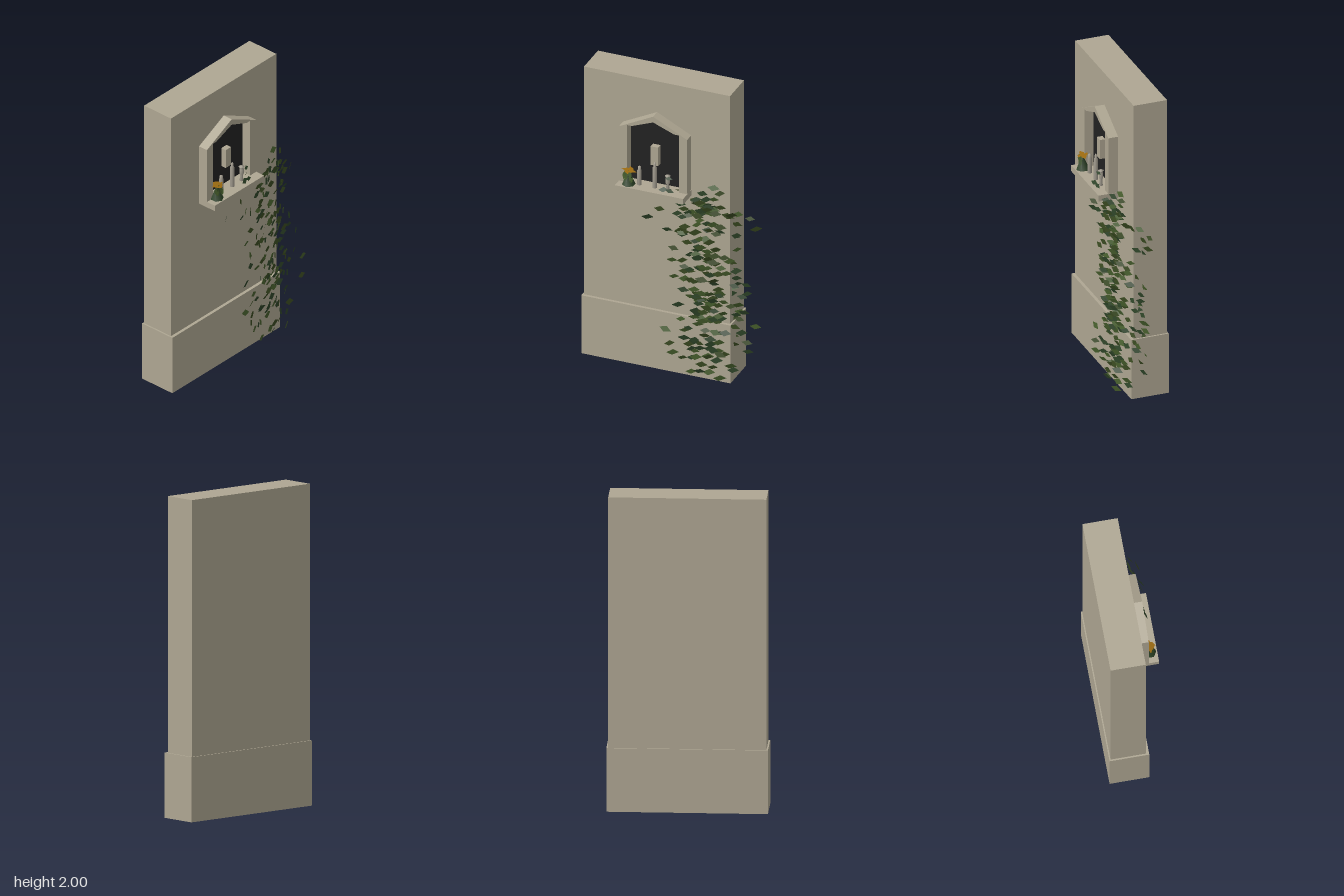
import * as THREE from 'three';
import { mergeGeometries } from 'three/addons/utils/BufferGeometryUtils.js';

export function createModel() {
  const model = new THREE.Group();
  const mat = (name, color, extra = {}) => Object.assign(new THREE.MeshStandardMaterial({ color, ...extra }), { name });
  const stone = mat('stone', 0xaea692, { side: THREE.DoubleSide });
  const dark = mat('niche dark', 0x222222);
  const pale = mat('candle grey', 0xa39d90);
  const orange = mat('flower orange', 0x9a6a10, { side: THREE.DoubleSide });
  const greens = [mat('leaf green', 0x435a2a), mat('deep leaf green', 0x2c4226), mat('dark leaf green', 0x37471f)];

  let seed = 11;
  const rnd = () => (seed = (seed * 16807) % 2147483647) / 2147483647;
  const span = (a, b) => a + (b - a) * rnd();

  const add = (name, geometry, material, parent = model) => {
    const m = new THREE.Mesh(geometry, material);
    m.name = name;
    parent.add(m);
    return m;
  };
  const box = (x0, x1, y0, y1, z0, z1) =>
    new THREE.BoxGeometry(x1 - x0, y1 - y0, z1 - z0).translate((x0 + x1) / 2, (y0 + y1) / 2, (z0 + z1) / 2);
  const openBottom = (g) => {
    const index = Array.from(g.index.array);
    index.splice(18, 6);
    g.setIndex(index);
    g.clearGroups();
    return g;
  };
  const polygon = (pts) => new THREE.Shape(pts.map(([x, y]) => new THREE.Vector2(x, y)));

  // Wall slab and plinth, hollow from below
  add('wall', openBottom(box(-0.6, 0.373, 0.4, 2, -0.175, 0.045)), stone);
  add('plinth', openBottom(box(-0.61, 0.384, 0, 0.405, -0.183, 0.065)), stone);

  // Gabled niche: surround, dark back and shelf, centred on cx
  const cx = -0.113;
  const inner = [[-0.172, 1.29], [-0.172, 1.69], [-0.14, 1.69], [0, 1.745], [0.14, 1.69], [0.172, 1.69], [0.172, 1.29]];
  const outer = [[0.227, 1.29], [0.227, 1.67], [0, 1.785], [-0.227, 1.67], [-0.227, 1.29]];
  add('nicheSurround', new THREE.ExtrudeGeometry(polygon([...inner, ...outer]), { depth: 0.065, bevelEnabled: false })
    .translate(cx, 0, 0.045), stone);
  add('nicheBack', new THREE.ShapeGeometry(polygon([...inner].reverse())).translate(cx, 0, 0.048), dark);
  add('shelf', box(-0.34, 0.115, 1.25, 1.29, 0.045, 0.175), stone);
  add('plaque', box(-0.139, -0.09, 1.43, 1.56, 0.048, 0.085), stone);

  // Candles and lamp on the shelf, turned from profiles of radius and height
  const turned = (name, x, profile) => {
    const g = new THREE.LatheGeometry(profile.map(([r, y]) => new THREE.Vector2(r, y)), 10);
    add(name, g.translate(x, 1.29, 0.106), pale);
  };
  turned('leftCandle', -0.205, [[0, 0], [0.014, 0], [0.014, 0.1], [0.01, 0.105], [0.01, 0.125], [0, 0.13]]);
  turned('middleCandle', -0.103, [[0, 0], [0.014, 0], [0.013, 0.14], [0.007, 0.15], [0.008, 0.165], [0, 0.177]]);
  turned('lamp', -0.017, [[0, 0], [0.012, 0], [0.008, 0.04], [0.014, 0.05], [0.014, 0.085], [0.008, 0.09], [0.018, 0.1], [0, 0.108]]);

  // One leaf: a slanted diamond facing forward
  const leafShape = polygon([[-0.04, 0.004], [-0.008, -0.02], [0.04, -0.006], [0.006, 0.02]]);
  const leaf = (x, y, z, pitch, yaw, roll, size) => new THREE.ShapeGeometry(leafShape).scale(size, size, size)
    .rotateZ(roll).rotateX(pitch).rotateY(yaw).translate(x, y, z);

  // Potted flowers at the left of the shelf
  const bouquet = new THREE.Group();
  bouquet.name = 'bouquet';
  model.add(bouquet);
  add('bouquetStems', new THREE.ConeGeometry(0.042, 0.1, 6).translate(-0.268, 1.34, 0.128), greens[1], bouquet);
  const petals = [], sprigs = [];
  for (let i = 0; i < 6; i++) {
    const a = i * Math.PI / 3;
    petals.push(leaf(-0.265 + 0.02 * Math.cos(a), 1.383 + 0.008 * (i % 2), 0.128 + 0.014 * Math.sin(a), -1.4, 0.2, a, 0.75));
    sprigs.push(leaf(-0.268 + 0.025 * Math.cos(a), 1.33 + 0.008 * i, 0.145, -0.2, span(-0.5, 0.5), 1.2 + 0.2 * i, 0.7));
  }
  add('flowers', mergeGeometries(petals), orange, bouquet);
  add('bouquetLeaves', mergeGeometries(sprigs), greens[0], bouquet);

  // Small sprig beside the lamp
  add('lampSprig', mergeGeometries([
    leaf(0, 1.385, 0.13, -0.5, 0.3, 0, 0.6),
    leaf(-0.03, 1.31, 0.145, -0.5, 0.2, 0.2, 0.8),
    leaf(0.01, 1.305, 0.14, -0.4, 0.3, -0.2, 0.7)]), greens[1]);

  // Ivy rows: height, left limit, right limit, leaf count
  const rows = [
    [1.34, 0.2, 0.35, 4], [1.26, 0.05, 0.36, 12], [1.2, 0.05, 0.42, 13], [1.14, -0.08, 0.5, 14],
    [1.06, -0.18, 0.56, 14], [0.98, -0.04, 0.46, 12], [0.9, 0.02, 0.4, 14], [0.82, 0, 0.45, 14],
    [0.74, 0.02, 0.5, 14], [0.66, 0.07, 0.52, 14], [0.58, 0.07, 0.45, 18], [0.5, 0.03, 0.5, 16],
    [0.43, 0.06, 0.58, 15], [0.34, -0.04, 0.54, 14], [0.26, 0, 0.5, 16], [0.18, 0.02, 0.42, 10], [0.1, 0.12, 0.44, 6]];
  const ivy = greens.map(() => []);
  for (const [y, left, right, count] of rows) {
    for (let i = 0; i < count; i++) {
      const t = (i + 0.5) / count;
      const mid = 0.26;
      const even = left + (right - left) * t;
      const x = even + (mid - even) * span(0, 0.55) * (i > 0 && i < count - 1 ? 1 : 0);
      const z = x > 0.36 ? span(-0.02, 0.14) : span(0.075, 0.17);
      ivy[Math.floor(rnd() * 3)].push(
        leaf(x, y + span(-0.04, 0.04), z, span(-0.45, 0.35), span(0.1, 0.75), span(-0.2, 0.2), span(0.75, 1.05)));
    }
  }
  const ivyGroup = new THREE.Group();
  ivyGroup.name = 'ivy';
  model.add(ivyGroup);
  ivy.forEach((leaves, i) => add('ivyLeaves' + (i + 1), mergeGeometries(leaves), greens[i], ivyGroup));

  return model;
}
